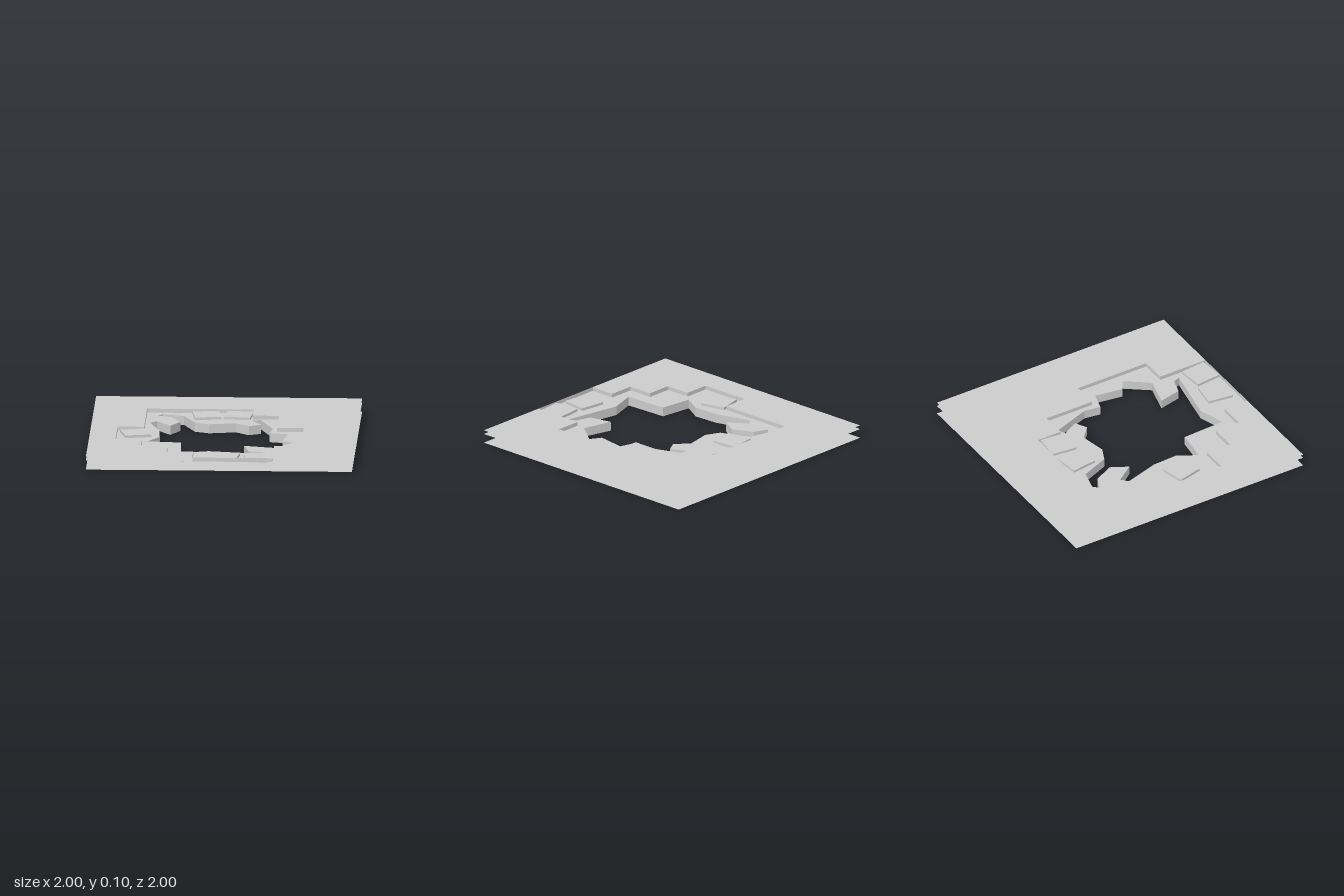
import * as THREE from 'three';

const material = new THREE.MeshStandardMaterial({
  color: 0xcccccc, flatShading: true, side: THREE.DoubleSide,
});

// Heights of the underside, the broken bed and the paved surface
const BED = 0.07, TOP = 0.1, TILE = 0.02;

// Outlines as [x, z]
const square = [[-1, -1], [1, -1], [1, 1], [-1, 1]];

const jaggedHole = [
  [-0.52, -0.5], [-0.48, -0.54], [-0.32, -0.5], [-0.23, -0.28], [-0.12, -0.23],
  [0.08, -0.27], [0.18, -0.18], [0.27, -0.23], [0.2, -0.36], [0.26, -0.385],
  [0.365, -0.09], [0.345, 0.04], [0.485, 0.08], [0.45, 0.3], [0.535, 0.35],
  [0.4, 0.53], [0.17, 0.47], [0.21, 0.645], [0.33, 0.68], [0.35, 0.735],
  [-0.09, 0.655], [-0.295, 0.72], [-0.31, 0.38], [-0.56, 0.35], [-0.475, 0.2],
  [-0.485, 0], [-0.565, -0.27], [-0.515, -0.315], [-0.41, -0.17], [-0.34, -0.3],
  [-0.415, -0.455],
];

// Stepped opening, running clockwise from one front corner to the other
const steppedOpening = [
  [-0.2, 1], [-0.2, 0.8], [-0.4, 0.8], [-0.4, 0.6], [-0.6, 0.6], [-0.6, 0.4],
  [-0.8, 0.4], [-0.8, 0], [-0.6, 0], [-0.6, -0.6], [0.2, -0.6], [0.2, -0.4],
  [0.4, -0.4], [0.4, 0], [0.6, 0], [0.6, 0.6], [0.4, 0.6], [0.4, 1],
];

const toPoints = (outline) => outline.map(([x, z]) => new THREE.Vector2(x, -z));

// Flat horizontal sheet at height y
function sheet(name, outline, y, hole) {
  const shape = new THREE.Shape(toPoints(outline));
  if (hole) shape.holes.push(new THREE.Path(toPoints(hole)));
  const geometry = new THREE.ShapeGeometry(shape).rotateX(-Math.PI / 2);
  const mesh = new THREE.Mesh(geometry, material);
  mesh.name = name;
  mesh.position.y = y;
  return mesh;
}

// Vertical walls following a closed outline, facing into the opening
function walls(name, outline, y0, y1) {
  const positions = [];
  outline.forEach(([ax, az], i) => {
    const [bx, bz] = outline[(i + 1) % outline.length];
    positions.push(
      ax, y0, az, bx, y0, bz, bx, y1, bz,
      ax, y0, az, bx, y1, bz, ax, y1, az,
    );
  });
  const geometry = new THREE.BufferGeometry();
  geometry.setAttribute('position', new THREE.Float32BufferAttribute(positions, 3));
  geometry.computeVertexNormals();
  const mesh = new THREE.Mesh(geometry, material);
  mesh.name = name;
  return mesh;
}

export function createModel() {
  const model = new THREE.Group();
  model.name = 'brokenFloor';

  // Bed slab pierced by the jagged hole
  model.add(sheet('underside', square, 0, jaggedHole));
  model.add(sheet('bed', square, BED, jaggedHole));
  model.add(walls('holeWalls', jaggedHole, 0, BED));

  // Paved surface with the stepped opening cut in from the front edge
  const paving = [[-1, -1], [-1, 1], ...steppedOpening, [1, 1], [1, -1]];
  model.add(sheet('paving', paving, TOP));
  model.add(walls('pavingEdge', steppedOpening, BED, TOP));

  // Loose tiles lying on the bed: x, z, turn
  const tiles = new THREE.Group();
  tiles.name = 'looseTiles';
  const tileGeometry = new THREE.BoxGeometry(0.2, TILE, 0.2);
  for (const [x, z, turn] of [
    [-0.146, -0.477, 0.13], [0.093, -0.485, -0.11], [-0.657, 0.131, 0.24],
    [0.04, 0.866, -0.13], [0.29, 0.89, 0.1],
  ]) {
    const tile = new THREE.Mesh(tileGeometry, material);
    tile.name = 'looseTile';
    tile.position.set(x, BED + TILE / 2, z);
    tile.rotation.y = turn;
    tiles.add(tile);
  }
  model.add(tiles);

  return model;
}
